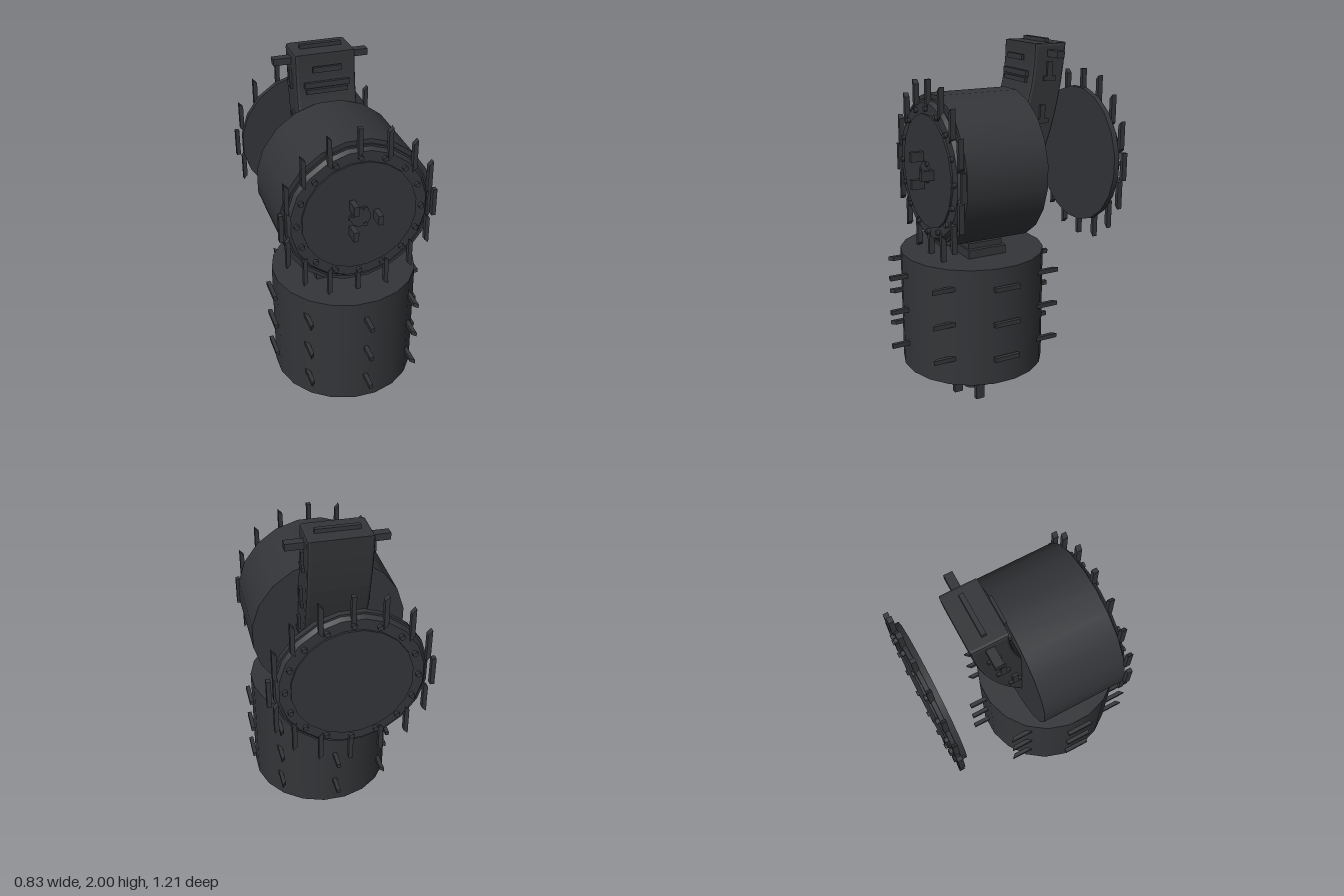
import * as THREE from 'three';

const N = 20; // sides of every large drum
const ZC = 0.125; // z of the vertical axis of the lower drum
const dark = new THREE.MeshStandardMaterial({ color: 0x333538 });

function add(parent, name, geometry, x = 0, y = 0, z = 0) {
  const m = new THREE.Mesh(geometry, dark);
  m.name = name;
  m.position.set(x, y, z);
  parent.add(m);
  return m;
}

const box = (parent, name, w, h, d, x, y, z) => add(parent, name, new THREE.BoxGeometry(w, h, d), x, y, z);

// Upright drum between two heights
function drum(parent, name, r, y0, y1, z = ZC, sides = N) {
  const g = new THREE.CylinderGeometry(r, r, y1 - y0, sides, 1, false, Math.PI / sides);
  return add(parent, name, g, 0, (y0 + y1) / 2, z);
}

// Drum lying along z, between two depths, with separate end radii
function disc(parent, name, rBack, rFront, z0, z1, x = 0, y = 0, sides = N) {
  const g = new THREE.CylinderGeometry(rFront, rBack, z1 - z0, sides, 1, false, Math.PI / sides);
  g.rotateX(Math.PI / 2);
  return add(parent, name, g, x, y, (z0 + z1) / 2);
}

// Upright bar with slanted ends
function bar(parent, name, w, length, d, slant, x, y, z) {
  const g = new THREE.BoxGeometry(w, length, d);
  const p = g.attributes.position;
  for (let i = 0; i < p.count; i++) p.setY(i, p.getY(i) + slant * p.getX(i));
  g.computeVertexNormals();
  return add(parent, name, g, x, y, z);
}

// Lid facing +z, its back at z = 0, with bolts and a crown of 16 bars
function lid(name) {
  const g = new THREE.Group();
  g.name = name;
  disc(g, 'lidRim', 0.38, 0.38, 0, 0.03);
  disc(g, 'lidPlate', 0.37, 0.355, 0.03, 0.05);
  disc(g, 'lidCentre', 0.3, 0.3, 0.05, 0.06);
  for (let i = 0; i < 16; i++) {
    const a = (i / 16) * Math.PI * 2, c = Math.cos(a), s = Math.sin(a);
    disc(g, 'lidBolt', 0.014, 0.014, 0.045, 0.068, 0.325 * c, 0.325 * s, 8);
    const slant = Math.abs(c * s) > 0.01 ? Math.sign(c * s) : 0;
    bar(g, 'lidBar', 0.022, 0.15, 0.028, slant, 0.4 * c, 0.4 * s, 0.042);
  }
  return g;
}

function lowerBody(root) {
  const g = new THREE.Group();
  g.name = 'lowerBody';
  root.add(g);
  drum(g, 'lowerDrum', 0.39, 0.245, 0.89);
  drum(g, 'lowerCollar', 0.27, 0.22, 0.25);
  drum(g, 'lowerSocket', 0.16, 0.125, 0.225);
  drum(g, 'lowerHub', 0.055, 0.05, 0.13, ZC, 12);
  for (let i = 0; i < 3; i++) {
    const a = (i / 3) * Math.PI * 2;
    box(g, 'lowerProng', 0.026, 0.085, 0.052, 0.085 * Math.cos(a), 0.043, ZC + 0.085 * Math.sin(a));
    box(g, 'prongArm', 0.03, 0.03, 0.03, 0.06 * Math.cos(a), 0.09, ZC + 0.06 * Math.sin(a));
  }
  // Three rows of eight pegs, all pointing along z
  for (const y of [0.395, 0.59, 0.785]) {
    for (let i = 0; i < 8; i++) {
      const a = (i / 8) * Math.PI * 2, c = Math.cos(a), s = Math.sin(a);
      const slant = i % 2 ? Math.sign(c * s) : 0;
      const peg = bar(g, 'drumPeg', 0.022, 0.145, 0.024, slant, 0.405 * c, y, ZC + 0.41 * s);
      peg.rotation.x = Math.PI / 2;
    }
  }
  // Saddle joining the two drums
  box(g, 'saddleBase', 0.37, 0.05, 0.22, 0, 0.91, ZC);
  box(g, 'saddleTop', 0.32, 0.06, 0.2, 0, 0.935, ZC);
}

function upperBody(root) {
  const g = new THREE.Group();
  g.name = 'upperBody';
  g.position.y = 1.34;
  root.add(g);
  disc(g, 'upperDrum', 0.403, 0.403, -0.11, 0.345);
  const front = lid('frontLid');
  front.position.z = 0.325;
  g.add(front);
  const back = lid('rearLid');
  back.position.z = -0.535;
  back.rotation.y = Math.PI;
  g.add(back);
  // Three-pronged knob on the front lid
  disc(g, 'knobHub', 0.055, 0.055, 0.37, 0.395, 0, 0, 12);
  for (let i = 0; i < 3; i++) {
    const a = (i / 3) * Math.PI * 2;
    box(g, 'knobProng', 0.028, 0.052, 0.085, 0.085 * Math.cos(a), 0.085 * Math.sin(a), 0.413);
    disc(g, 'knobStud', 0.012, 0.012, 0.37, 0.4, -0.05 * Math.cos(a), -0.05 * Math.sin(a), 8);
  }
}

function chimney(root) {
  const g = new THREE.Group();
  g.name = 'chimney';
  root.add(g);
  // Side outline (distance behind centre, height), extruded across x
  const e = 0.015;
  const s = new THREE.Shape();
  s.moveTo(0.08, 1.15);
  s.lineTo(0.11 - e, 1.15 + e);
  s.quadraticCurveTo(0.32 - e, 1.5, 0.355 - e, 1.98 - e);
  s.lineTo(0.165 + e, 1.98 - e);
  s.quadraticCurveTo(0.165 + e, 1.78, 0.1 + e, 1.62 - e);
  s.lineTo(0.08, 1.6);
  s.closePath();
  const geo = new THREE.ExtrudeGeometry(s, {
    depth: 0.32 - 2 * e, bevelThickness: e, bevelSize: e, bevelSegments: 2, curveSegments: 10,
  });
  geo.translate(0, 0, -0.16 + e);
  geo.rotateY(Math.PI / 2);
  add(g, 'chimneyDuct', geo);
  box(g, 'topSlot', 0.22, 0.03, 0.024, 0, 1.985, -0.265);
  box(g, 'crossBar', 0.505, 0.035, 0.045, 0, 1.928, -0.263);
  // Slats in front of and behind the duct
  box(g, 'frontSlat', 0.15, 0.028, 0.016, 0, 1.905, -0.143);
  box(g, 'frontSlat', 0.24, 0.028, 0.016, 0, 1.825, -0.143);
  box(g, 'frontSlat', 0.22, 0.024, 0.03, 0, 1.79, -0.15);
  box(g, 'rearSlat', 0.15, 0.035, 0.028, 0, 1.36, -0.243);
  // L-shaped brackets on both sides
  for (const side of [-1, 1]) {
    for (const [y, z] of [[1.84, -0.25], [1.62, -0.21], [1.42, -0.15]]) {
      box(g, 'sideBracket', 0.02, 0.09, 0.03, side * 0.163, y, z);
      box(g, 'sideBracketFoot', 0.02, 0.025, 0.07, side * 0.163, y - 0.04, z);
    }
  }
}

export function createModel() {
  const root = new THREE.Group();
  root.name = 'twinDrumMachine';
  lowerBody(root);
  upperBody(root);
  chimney(root);
  return root;
}
